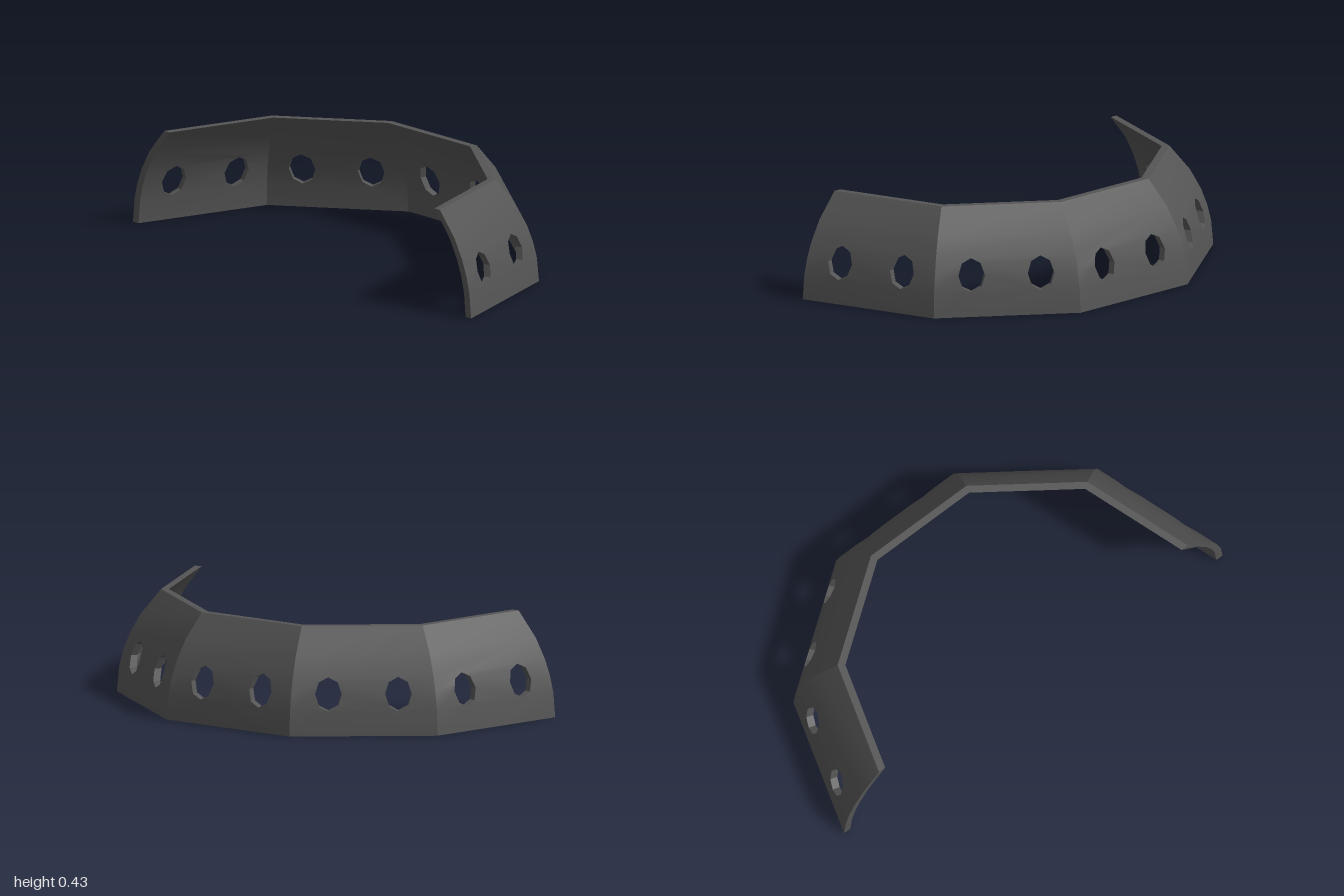
import * as THREE from 'three';
import { toCreasedNormals } from 'three/addons/utils/BufferGeometryUtils.js';

const CENTRE_X = -0.4755;            // axis of the ten-sided ring
const THICK = 0.031;
const TAN = Math.tan(Math.PI / 10);  // half-width of a panel per unit of apothem
const HOLE = { s: 0.146, y: 0.172, rx: 0.056, ry: 0.069 };
const LOW = HOLE.y - HOLE.ry, MID = HOLE.y, HIGH = HOLE.y + HOLE.ry;
const ROWS = [0, LOW, MID, HIGH, 0.327, 0.433];

// Curved wall profile: distance from the ring axis at height y
const apothem = (y, inner) => 0.328 + Math.sqrt(0.623 ** 2 - y * y) - (inner ? THICK : 0);

// Corner k of the eight-sided hole on one side of the panel
const corner = (side, k) => [
  side * HOLE.s + HOLE.rx * Math.cos(k * Math.PI / 4),
  HOLE.y + HOLE.ry * Math.sin(k * Math.PI / 4),
];

// Face pieces of one panel; a first coordinate of -1 or 1 means the mitred edge
function facePieces() {
  const c = HOLE.s;
  const pieces = [
    [[-1, 0], [1, 0], [1, LOW], [c, LOW], [-c, LOW], [-1, LOW]],
    [[-1, HIGH], [-c, HIGH], [c, HIGH], [1, HIGH], [1, ROWS[4]], [-1, ROWS[4]]],
    [[-1, ROWS[4]], [1, ROWS[4]], [1, ROWS[5]], [-1, ROWS[5]]],
  ];
  // pieces around the holes, below and then mirrored above their middle
  const around = [
    [[-1, LOW], corner(-1, 6), corner(-1, 5), corner(-1, 4), [-1, MID]],
    [corner(-1, 6), corner(1, 6), corner(1, 5), corner(1, 4), corner(-1, 0), corner(-1, 7)],
    [corner(1, 6), [1, LOW], [1, MID], corner(1, 0), corner(1, 7)],
  ];
  for (const piece of around) {
    pieces.push(piece, piece.map(([u, y]) => [u, 2 * MID - y]).reverse());
  }
  return pieces;
}

function panelGeometry(angle, openEdge) {
  const pos = [];
  const cos = Math.cos(angle), sin = Math.sin(angle);
  const put = ([u, y], inner) => {
    const a = apothem(y, inner);
    const s = Math.abs(u) === 1 ? u * a * TAN : u;
    pos.push(CENTRE_X + a * cos + s * sin, y, a * sin - s * cos);
  };
  const wall = (p, q) => {
    put(p, true); put(q, true); put(q, false);
    put(p, true); put(q, false); put(p, false);
  };

  // outer and inner faces
  for (const piece of facePieces()) {
    const contour = piece.map(([u, y]) => new THREE.Vector2(u, y));
    for (const [i, j, k] of THREE.ShapeUtils.triangulateShape(contour, [])) {
      const A = piece[i], B = piece[j], C = piece[k];
      const ccw = (B[0] - A[0]) * (C[1] - A[1]) - (B[1] - A[1]) * (C[0] - A[0]) > 0;
      const tri = ccw ? [A, B, C] : [A, C, B];
      tri.forEach((p) => put(p, false));
      tri.reverse().forEach((p) => put(p, true));
    }
  }

  // bottom and top rims
  const top = ROWS[5];
  wall([-1, 0], [1, 0]);
  wall([1, top], [-1, top]);

  // hole linings
  for (const side of [-1, 1]) {
    for (let k = 0; k < 8; k++) wall(corner(side, k + 1), corner(side, k));
  }

  // cut end of the ring
  if (openEdge) {
    for (let i = 0; i < ROWS.length - 1; i++) {
      const a = [openEdge, ROWS[i]], b = [openEdge, ROWS[i + 1]];
      if (openEdge > 0) wall(a, b); else wall(b, a);
    }
  }

  const geometry = new THREE.BufferGeometry();
  geometry.setAttribute('position', new THREE.Float32BufferAttribute(pos, 3));
  return toCreasedNormals(geometry, 0.45);
}

export function createModel() {
  const group = new THREE.Group();
  group.name = 'halfRing';
  const darkGrey = new THREE.MeshStandardMaterial({ color: 0x555555 });
  darkGrey.name = 'darkGrey';

  // five panels, every 36 degrees
  for (let i = -2; i <= 2; i++) {
    const openEdge = i === 2 ? -1 : i === -2 ? 1 : 0;
    const panel = new THREE.Mesh(panelGeometry(i * Math.PI / 5, openEdge), darkGrey);
    panel.name = 'curvedPanel' + (i + 3);
    group.add(panel);
  }
  return group;
}
